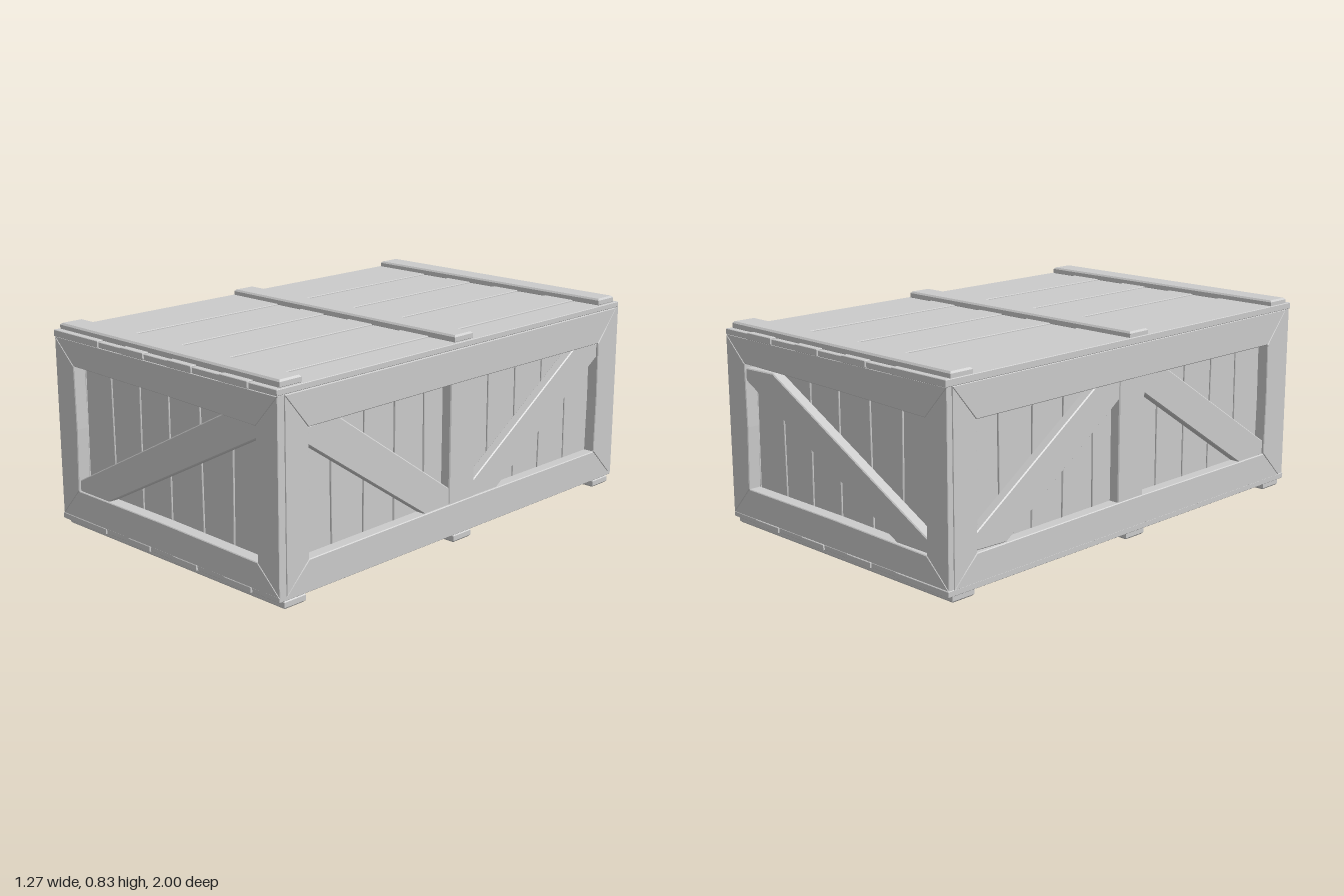
import * as THREE from 'three';

const material = new THREE.MeshStandardMaterial({ color: 0xcccccc });

// Flat board cut from an outline of [u, v] points, from depth w0 to w1, with small chamfers
function board(name, points, w0, w1, bevel = 0.004) {
  const shape = new THREE.Shape(points.map(([u, v]) => new THREE.Vector2(u, v)));
  const geometry = new THREE.ExtrudeGeometry(shape, {
    depth: w1 - w0 - 2 * bevel,
    bevelEnabled: true, bevelSegments: 1,
    bevelSize: bevel, bevelThickness: bevel, bevelOffset: -bevel,
  });
  geometry.translate(0, 0, w0 + bevel);
  const mesh = new THREE.Mesh(geometry, material);
  mesh.name = name;
  return mesh;
}

// Midpoint of an edge, pushed by (du, dv) for a hand-cut bow
const bowed = (a, b, du, dv) => [(a[0] + b[0]) / 2 + du, (a[1] + b[1]) / 2 + dv];

// One wall: slats behind a mitred frame, braces and an optional post; u right, v up, w outward
function wall(name, { halfWidth, inner, seams, braces, post, depth }) {
  const group = new THREE.Group();
  group.name = name;
  const lo = 0.05, hi = 0.78;

  // Upright slats with narrow, slightly slanting gaps
  for (let i = 0; i < seams.length - 1; i++) {
    const lean = (k) => (k === 0 || k === seams.length - 1 ? 0 : 0.005 * Math.sin(k * 2.3));
    const a = seams[i] + 0.003, b = seams[i + 1] - 0.003;
    group.add(board('slat', [
      [a - lean(i), lo], [b - lean(i + 1), lo], [b + lean(i + 1), hi], [a + lean(i), hi],
    ], -depth - 0.025, -depth, 0.002));
  }

  // Mitred frame: bottom, right, top, left
  const outer = [[-halfWidth, lo], [halfWidth, lo], [halfWidth, hi], [-halfWidth, hi]];
  const names = ['bottomRail', 'rightStile', 'topRail', 'leftStile'];
  const bows = [[0, 0.004], [0.004, 0], [0, 0.003], [0.006, 0]];
  names.forEach((part, i) => {
    const j = (i + 1) % 4;
    const points = [outer[i], outer[j], inner[j], bowed(inner[j], inner[i], ...bows[i]), inner[i]];
    group.add(board(part, points, -depth, 0, 0.003));
  });

  // Diagonal braces and the middle post
  braces.forEach((points) => group.add(board('brace', points, -depth, -0.008)));
  if (post) {
    const [a, b] = post;
    group.add(board('post', [[a, 0.155], [b, 0.155], [b, 0.655], [a, 0.655]], -depth, -0.004));
  }
  return group;
}

const mirrorU = (points) => points.map(([u, v]) => [-u, v]).reverse();
const mirrorV = (points) => points.map(([u, v]) => [u, 0.81 - v]).reverse();

// Battens lie across the planks, running along x
function batten(name, zCentre, y0, y1, x0, x1, width = 0.105) {
  const h = width / 2;
  const mesh = board(name, [[x0, -h], [x1, -h], [x1, h], [x0, h]], y0, y1, 0.007);
  mesh.rotation.x = -Math.PI / 2;
  mesh.position.z = zCentre;
  return mesh;
}

export function createModel() {
  const crate = new THREE.Group();
  crate.name = 'crate';

  // End walls
  const endBrace = [[-0.525, 0.16], [-0.35, 0.16], [0.525, 0.61], [0.525, 0.66], [0.35, 0.665], [-0.525, 0.21]];
  const end = {
    halfWidth: 0.633, depth: 0.055,
    inner: [[-0.525, 0.167], [0.52, 0.155], [0.522, 0.655], [-0.52, 0.678]],
    seams: [-0.61, -0.52, -0.35, -0.18, -0.01, 0.17, 0.343, 0.52, 0.61],
  };
  const front = wall('frontWall', { ...end, braces: [endBrace] });
  front.position.z = 0.998;
  const back = wall('backWall', { ...end, inner: end.inner, braces: [mirrorU(endBrace)] });
  back.rotation.y = Math.PI;
  back.position.z = -0.99;
  crate.add(front, back);

  // Long side walls: braces meet low on the left side, high on the right side
  const nearBrace = [[-0.855, 0.645], [-0.855, 0.58], [-0.23, 0.16], [-0.09, 0.16], [-0.09, 0.23], [-0.70, 0.65]];
  const farBrace = [[0.85, 0.645], [0.69, 0.65], [0.045, 0.23], [0.045, 0.16], [0.19, 0.16], [0.85, 0.585]];
  const side = {
    halfWidth: 0.966, depth: 0.05,
    inner: [[-0.855, 0.16], [0.848, 0.168], [0.848, 0.645], [-0.855, 0.645]],
    seams: [-0.95, -0.86, -0.7, -0.53, -0.365, -0.2, -0.02, 0.18, 0.35, 0.52, 0.69, 0.86, 0.95],
    post: [-0.098, 0.05],
  };
  const left = wall('leftWall', { ...side, braces: [nearBrace, farBrace] });
  left.rotation.y = Math.PI / 2;
  left.position.x = 0.637;
  const right = wall('rightWall', { ...side, braces: [mirrorV(nearBrace), mirrorV(farBrace)] });
  right.rotation.y = -Math.PI / 2;
  right.position.x = -0.637;
  crate.add(left, right);

  // Lid and floor planks, slightly uneven in height and length
  const edges = [-0.637, -0.355, -0.217, -0.082, 0.055, 0.19, 0.337, 0.487, 0.632];
  for (let i = 0; i < edges.length - 1; i++) {
    const a = edges[i] + 0.002, b = edges[i + 1] - 0.002;
    const step = i % 2 ? 0.004 : 0;
    const outline = [[a, -1 + step], [b, -1 + step], [b, 0.995 - step], [a, 0.995 - step]];
    const lid = board('lidPlank', outline, 0.78, 0.807 - step, 0.002);
    const floor = board('floorPlank', outline, 0.028 + step, 0.052, 0.002);
    for (const plank of [lid, floor]) {
      plank.rotation.x = -Math.PI / 2;
      crate.add(plank);
    }
  }

  // Battens over the lid and under the floor
  for (const z of [0.92, 0.012, -0.916]) {
    crate.add(batten('lidBatten', z, 0.798, 0.83, -0.63, 0.618));
    crate.add(batten('floorBatten', z, 0, 0.034, -0.628, 0.63));
  }
  return crate;
}
